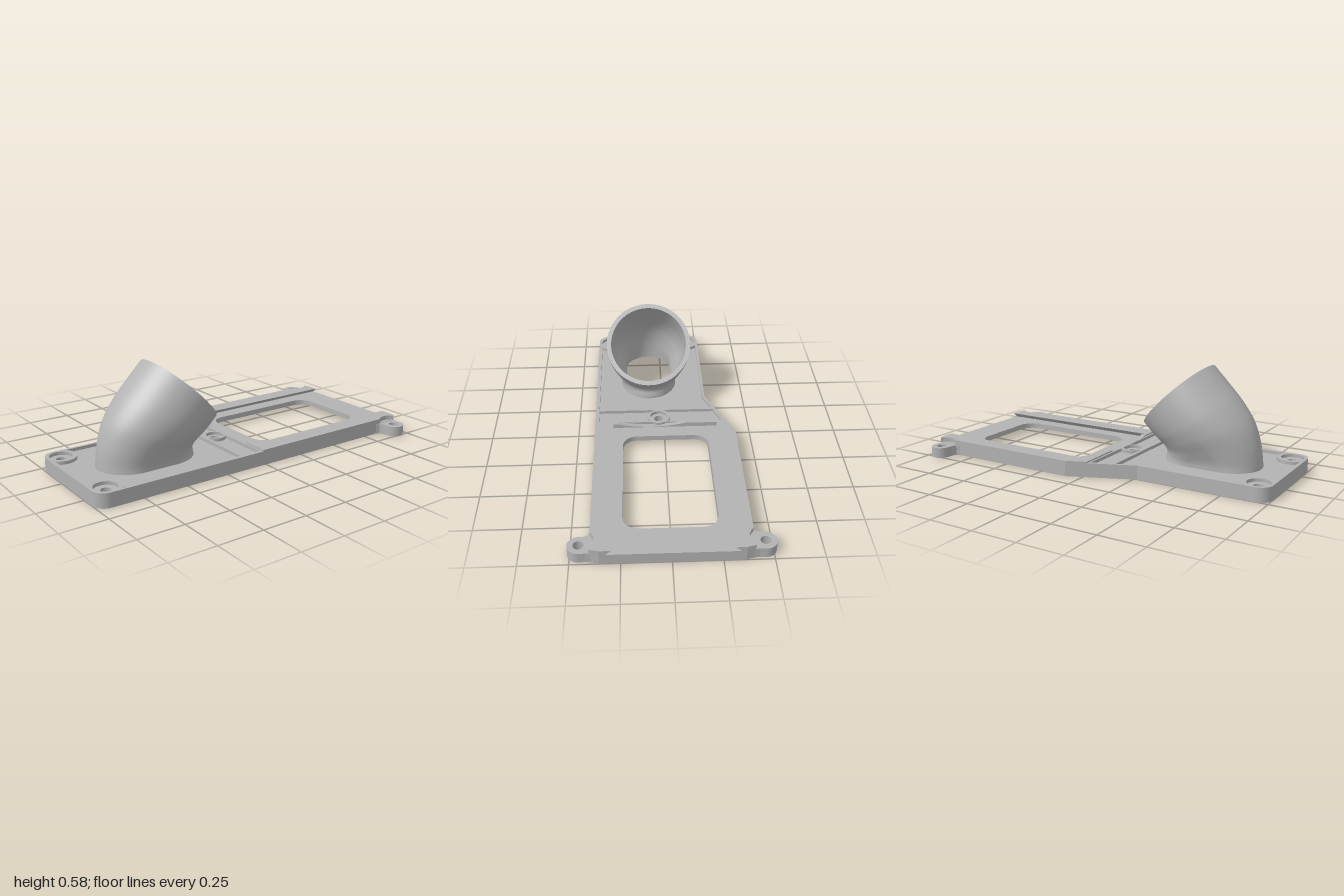
import * as THREE from 'three';

const V = (x, z) => new THREE.Vector2(x, z);
const pts = (list) => list.map(([x, z]) => V(x, z));

// Points on an arc, angles in degrees
function arc(cx, cz, r, a0, a1, n = 16) {
  return Array.from({ length: n + 1 }, (_, i) => {
    const a = THREE.MathUtils.degToRad(a0 + (a1 - a0) * i / n);
    return V(cx + r * Math.cos(a), cz + r * Math.sin(a));
  });
}
const circle = (cx, cz, r) => arc(cx, cz, r, 0, 348.75, 31);

// Oval cross-section: k = 0 gives straight-sided ends, k = 1 an ellipse
function oval(a, b, k, n = 64) {
  return Array.from({ length: n }, (_, i) => {
    const t = (i + 0.5) / n * Math.PI * 2;
    const c = Math.cos(t);
    const slot = Math.max(a - b, 0) * Math.sign(c) + b * c;
    return V(THREE.MathUtils.lerp(slot, a * c, k), b * Math.sin(t));
  });
}

// Horizontal plate from an x/z outline with holes
function slabGeometry(outline, holes, y0, y1) {
  const shape = new THREE.Shape(outline);
  shape.holes = holes.map((h) => new THREE.Path(h));
  const g = new THREE.ExtrudeGeometry(shape, { depth: y1 - y0, bevelEnabled: false });
  return g.rotateX(Math.PI / 2).translate(0, y1, 0);
}

// Closed skin through a series of rings
function skin(rings, flip) {
  const n = rings[0].length, pos = [], idx = [];
  rings.forEach((r) => r.forEach((p) => pos.push(p.x, p.y, p.z)));
  for (let j = 0; j < rings.length - 1; j++) {
    for (let i = 0; i < n; i++) {
      const a = j * n + i, b = j * n + (i + 1) % n, c = a + n, d = b + n;
      if (flip) idx.push(a, b, c, b, d, c);
      else idx.push(a, c, b, b, c, d);
    }
  }
  const g = new THREE.BufferGeometry();
  g.setAttribute('position', new THREE.Float32BufferAttribute(pos, 3));
  g.setIndex(idx);
  g.computeVertexNormals();
  return g;
}

export function createModel() {
  const model = new THREE.Group();
  model.name = 'ductAdapterPlate';
  const grey = new THREE.MeshStandardMaterial({ color: 0xb2b2b2, side: THREE.DoubleSide });
  grey.name = 'plastic grey';
  const add = (name, geometry, parent = model) => {
    const m = new THREE.Mesh(geometry, grey);
    m.name = name;
    parent.add(m);
    return m;
  };

  const LOW = 0.03, FLOOR = 0.06, TOP = 0.078, RAIL = 0.086;
  const screws = [[-0.92, -0.175], [-0.92, 0.32], [-0.075, 0.03]];
  const screwHoles = screws.map(([x, z]) => circle(x, z, 0.027));
  const cornerBack = arc(-0.93, -0.185, 0.07, 180, 270, 8);
  const cornerFront = arc(-0.93, 0.33, 0.07, 90, 180, 8);

  // Lower skirt and floor panel
  const outline = [...cornerBack, ...pts([[-0.27, -0.255], [0.09, -0.405], [0.985, -0.405],
    [1, -0.36], [1, 0.355], [0.985, 0.4]]), ...cornerFront];
  const inner = [...arc(-0.93, -0.185, 0.05, 180, 270, 8), ...pts([[-0.265, -0.235],
    [0.095, -0.385], [0.98, -0.385], [0.98, 0.38]]), ...arc(-0.93, 0.33, 0.05, 90, 180, 8)];
  add('skirt', slabGeometry(outline, [inner], 0, LOW));

  const w = 0.08;
  const windowHole = [...arc(0.09 + w, -0.245 + w, w, 180, 270, 8), ...arc(0.83 - w, -0.245 + w, w, 270, 360, 8),
    ...arc(0.83 - w, 0.24 - w, w, 0, 90, 8), ...arc(0.09 + w, 0.24 - w, w, 90, 180, 8)];
  const ductHole = oval(0.25, 0.14, 0).map((p) => V(p.x - 0.559, p.y + 0.08));
  add('floorPanel', slabGeometry(outline, [windowHole, ductHole, ...screwHoles], LOW, FLOOR));

  // Raised rim around the two pockets of the duct side
  const leftOutline = [...cornerBack, ...pts([[-0.27, -0.255], [-0.02, -0.359], [-0.02, 0.4]]), ...cornerFront];
  const pocket = [...arc(-0.92, -0.175, 0.085, 135, -50), ...pts([[-0.268, -0.24], [-0.157, -0.287],
    [-0.157, 0.38]]), ...arc(-0.92, 0.32, 0.085, 45, -135)];
  const sidePocket = pts([[-0.137, -0.293], [-0.03, -0.335], [-0.03, 0.38], [-0.137, 0.38]]);
  const bores = screws.slice(0, 2).map(([x, z]) => circle(x, z, 0.062));
  add('pocketRim', slabGeometry(leftOutline, [pocket, sidePocket, ...bores], FLOOR, TOP));
  add('middleBoss', slabGeometry(circle(-0.075, 0.03, 0.065), [circle(-0.075, 0.03, 0.05)], FLOOR, TOP));

  // Screw bosses under the panel
  screws.forEach(([x, z], i) =>
    add('lowerBoss' + (i + 1), slabGeometry(circle(x, z, 0.06), [screwHoles[i]], 0, LOW)));

  // Ears and undercut slide rails, back and front
  for (const side of [-1, 1]) {
    const name = side < 0 ? 'back' : 'front';
    const edge = side < 0 ? 0.405 : 0.4, lip = side < 0 ? 0.305 : 0.295;
    const earZ = edge + 0.055;
    const place = (list) => list.map((p) => V(p.x, p.y * side));

    const ear = [...pts([[0.84, edge], [0.862, edge + 0.008], [0.873, edge + 0.03]]),
      ...arc(0.93, earZ, 0.057, 180, 0), ...pts([[0.985, edge + 0.02], [0.988, edge - 0.005]])];
    add(name + 'Ear', slabGeometry(place(ear), [place(circle(0.93, earZ, 0.027))], 0, 0.058));

    const start = side < 0 ? [[0.09, edge], [-0.02, 0.359]] : [[-0.02, edge]];
    const rail = [...pts([...start, [-0.02, lip], [1, lip], [1, edge - 0.045], [0.988, edge]]),
      ...arc(0.93, earZ, 0.08, -43, -137, 12)];
    const g = slabGeometry(place(rail), [], FLOOR, RAIL);
    const p = g.attributes.position;
    for (let i = 0; i < p.count; i++) {
      // Lean the inner face outward at its foot
      if (p.getY(i) < 0.07 && Math.abs(p.getZ(i)) < lip + 0.001) p.setZ(i, side * (lip + 0.028));
    }
    g.computeVertexNormals();
    add(name + 'Rail', g);
  }

  // Stop wall across the slide, scooped below the duct mouth
  const wall = new THREE.Shape();
  wall.moveTo(-0.295, FLOOR);
  wall.lineTo(-0.295, RAIL);
  wall.lineTo(-0.27, RAIL);
  wall.quadraticCurveTo(-0.075, 0.038, 0.12, RAIL);
  wall.lineTo(0.305, RAIL);
  wall.lineTo(0.305, FLOOR);
  const wallGeometry = new THREE.ExtrudeGeometry(wall, { depth: 0.025, bevelEnabled: false, curveSegments: 20 });
  add('stopWall', wallGeometry.rotateY(Math.PI / 2).translate(-0.02, 0, 0));

  // Elbow duct: outer bend, inner bend and half depth of each section
  const spline = (list) => new THREE.CatmullRomCurve3(list.map(([x, y]) => new THREE.Vector3(x, y, 0)));
  const outerBend = spline([[-0.835, 0.03], [-0.832, 0.09], [-0.815, 0.19], [-0.775, 0.295],
    [-0.7, 0.4], [-0.605, 0.5], [-0.52, 0.585]]);
  const innerBend = spline([[-0.283, 0.03], [-0.286, 0.075], [-0.294, 0.105], [-0.285, 0.13],
    [-0.25, 0.16], [-0.21, 0.195], [-0.17, 0.235]]);
  const depth = spline([[0.165, 0], [0.167, 0], [0.19, 0], [0.22, 0], [0.24, 0], [0.246, 0], [0.2475, 0]]);
  const ductRings = (wallThickness) => Array.from({ length: 31 }, (_, j) => {
    const t = j / 30;
    const l = outerBend.getPoint(t), r = innerBend.getPoint(t);
    const mid = l.clone().add(r).multiplyScalar(0.5);
    const a = l.distanceTo(r) / 2 - wallThickness;
    const dir = r.clone().sub(l).normalize();
    return oval(a, depth.getPoint(t).x - wallThickness, Math.min(1, t * 1.6)).map((q) =>
      new THREE.Vector3(mid.x + dir.x * q.x, mid.y + dir.y * q.x, 0.08 + q.y));
  });
  const outside = ductRings(0), inside = ductRings(0.0255);
  const duct = new THREE.Group();
  duct.name = 'elbowDuct';
  model.add(duct);
  add('ductOutside', skin(outside, true).scale(1, 1, 1), duct);
  add('ductInside', skin(inside, false), duct);
  add('ductMouth', skin([outside[30], inside[30]], true), duct);

  return model;
}
